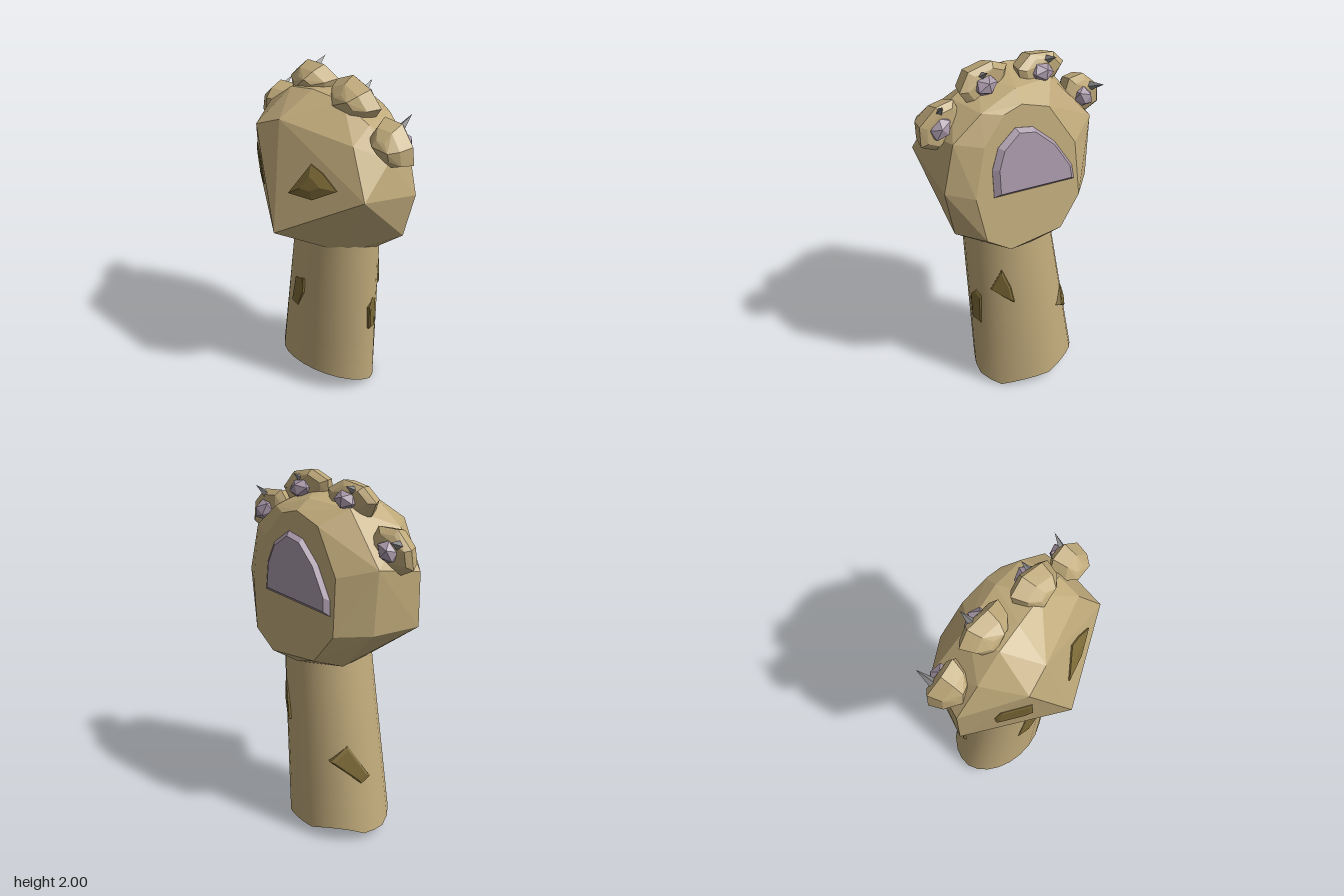
import * as THREE from 'three';
import { mergeVertices, toCreasedNormals } from 'three/addons/utils/BufferGeometryUtils.js';
import { ConvexGeometry } from 'three/addons/geometries/ConvexGeometry.js';

const material = (color, flatShading = true) => new THREE.MeshStandardMaterial({ color, flatShading });
const fur = material(0xbfa97a);
const smoothFur = material(0xbfa97a, false);
const spotColor = material(0x7d6a37);
const padColor = material(0xa898a8);
const clawColor = material(0x888888);

const V = (x, y, z) => new THREE.Vector3(x, y, z);

function add(parent, name, geometry, mat) {
  const mesh = new THREE.Mesh(geometry, mat);
  mesh.name = name;
  parent.add(mesh);
  return mesh;
}

// Tapered, leaning forearm with a slanted cut at the bottom
function armGeometry() {
  let g = new THREE.CylinderGeometry(1, 1, 1, 24, 4);
  const p = g.attributes.position;
  const mix = THREE.MathUtils.lerp;
  for (let i = 0; i < p.count; i++) {
    const nx = p.getX(i), nz = p.getZ(i), t = p.getY(i) + 0.5;
    const back = Math.max(0, -nz);
    const slope = nz > -0.5 ? 0.14 * (1 - (1 - nz) / 1.5) : 0.1 * (back - 0.5);
    const cut = slope + 0.1 * back * Math.max(0, -nx);
    const r = 1 - 0.2 * back * Math.max(0, nx) * (1 - t); // flattened rear corner
    p.setXYZ(i,
      mix(-0.065, 0.045, t) + nx * r * mix(0.315, 0.235, t),
      mix(cut, 1.2, t),
      mix(-0.115, -0.055, t) + nz * r * mix(0.245, 0.22, t));
  }
  g.deleteAttribute('uv');
  g.deleteAttribute('normal');
  g = mergeVertices(g);
  return toCreasedNormals(g, 0.7);
}

// Faceted paw: a blunt wedge in front, a tilted flat palm behind
function pawGeometry() {
  const palm = [[-0.22, 1.25], [-0.21, 1.55], [-0.07, 1.78], [0.08, 1.83], [0.18, 1.8], [0.3, 1.66],
    [0.37, 1.4], [0.33, 1.15], [0.2, 1.06], [-0.1, 1.09]]
    .map(([x, y]) => V(x, y, -0.3 + 0.15 * (x - 0.03) + 0.12 * (y - 1.5)));
  return new ConvexGeometry([
    ...palm,
    // front
    V(-0.03, 1.22, 0.37), V(0.43, 1.51, 0.2), V(-0.25, 1.73, 0.25), V(-0.1, 1.8, 0.235),
    V(0.3, 1.75, 0.14),
    // crown
    V(-0.36, 1.75, 0.03), V(-0.2, 1.88, 0.04), V(-0.05, 1.91, 0.04), V(0.14, 1.9, 0.03),
    V(0.3, 1.82, 0.02), V(0.42, 1.66, 0), V(-0.18, 1.86, -0.16), V(0.06, 1.88, -0.18),
    V(0.27, 1.81, -0.18),
    // sides
    V(-0.5, 1.55, 0), V(-0.5, 1.25, 0), V(-0.4, 1.6, -0.23), V(-0.38, 1.25, -0.24),
    V(0.48, 1.42, -0.15), V(0.42, 1.15, -0.14), V(0.42, 1.68, -0.15),
    // underside
    V(-0.2, 1.02, -0.02), V(0.25, 1.01, -0.1), V(0.2, 1.04, 0.06), V(0, 1.1, 0.17),
    V(-0.2, 1.04, -0.25), V(0.05, 1.03, -0.31),
  ]);
}

// Raised plate with a smaller upper outline, facing local +z
function plateGeometry(outline, height, inset) {
  const points = [];
  for (const [u, v] of outline) {
    points.push(V(u, v, -0.03), V(u, v, height * 0.3), V(u * inset, v * inset, height));
  }
  return new ConvexGeometry(points);
}

// Drops a spot onto the surface hit by a ray
function addSpot(group, target, from, dir, outline, height = 0.008, inset = 0.8) {
  const hit = new THREE.Raycaster(from, dir.clone().normalize()).intersectObject(target)[0];
  if (!hit) return;
  const spot = add(group, 'furSpot', plateGeometry(outline, height, inset), spotColor);
  spot.position.copy(hit.point);
  spot.lookAt(hit.point.clone().add(hit.face.normal));
}

// Boat-shaped toe: broad at the back, narrowing to the front
function toeGeometry(w, h) {
  const points = [];
  for (const [z, s] of [[-0.07, 0.75], [-0.045, 1], [0.03, 0.8], [0.075, 0.42]]) {
    for (let i = 0; i < 7; i++) {
      const a = (i + 0.25) / 7 * Math.PI * 2;
      points.push(V(Math.cos(a) * w * s, Math.sin(a) * h * s, z + 0.012 * Math.sin(i * 2)));
    }
  }
  return new ConvexGeometry(points);
}

function addToe(group, { center, tilt, size, base, tip }) {
  const toe = new THREE.Group();
  toe.name = 'toe';
  group.add(toe);
  const body = add(toe, 'toeBody', toeGeometry(...size), fur);
  body.position.copy(center);
  body.rotation.z = tilt;

  const pad = add(toe, 'toePad', new THREE.IcosahedronGeometry(1, 0), padColor);
  pad.scale.set(0.068, 0.052, 0.055);
  pad.position.copy(center).add(V(0.015, 0, -0.072));
  pad.rotation.z = tilt;

  const dir = tip.clone().sub(base);
  const claw = add(toe, 'claw', new THREE.ConeGeometry(0.032, dir.length(), 4), clawColor);
  claw.position.copy(base).add(tip).multiplyScalar(0.5);
  claw.quaternion.setFromUnitVectors(V(0, 1, 0), dir.normalize());
}

export function createModel() {
  const group = new THREE.Group();
  group.name = 'paw';
  const arm = add(group, 'forearm', armGeometry(), smoothFur);
  const paw = add(group, 'pawBody', pawGeometry(), fur);

  // Palm pad
  const pad = add(group, 'palmPad', plateGeometry([[-0.24, -0.15], [0.23, -0.18], [0.22, -0.1],
    [0.12, 0.06], [0, 0.17], [-0.1, 0.19], [-0.2, 0.11], [-0.24, 0]], 0.035, 0.88), padColor);
  pad.position.set(0.03, 1.53, -0.287);
  pad.lookAt(pad.position.clone().add(V(0.15, 0.12, -1)));

  // Fur spots on the paw and forearm
  addSpot(group, paw, V(-0.29, 1.46, 2), V(0, 0, -1),
    [[-0.1, 0], [-0.07, 0.09], [0.09, 0.1], [0.1, -0.07], [0.07, -0.09], [-0.09, -0.09]]);
  addSpot(group, paw, V(0.13, 1.53, 2), V(0, 0, -1),
    [[-0.12, -0.08], [-0.01, 0.1], [0.06, 0.07], [0.15, 0], [0.02, -0.08]], 0.025, 0.4);
  addSpot(group, arm, V(-0.09, 0.68, 2), V(0, 0, -1),
    [[-0.07, -0.11], [0, -0.1], [0.06, 0.03], [0.07, 0.13], [-0.02, 0.09]]);
  addSpot(group, arm, V(2, 0.57, -0.1), V(-1, 0, 0),
    [[-0.04, 0.06], [0, 0.11], [0.035, 0.08], [0.03, -0.12], [-0.03, -0.1]]);
  addSpot(group, arm, V(2, 0.74, -0.23), V(-1, 0, 0),
    [[-0.06, -0.02], [0, 0.12], [0.05, 0], [0.07, -0.1], [0, -0.06]]);
  addSpot(group, arm, V(-1.25, 0.45, -1.15), V(1, 0, 0.9),
    [[-0.11, 0.04], [-0.01, 0.12], [0.11, -0.07], [0.06, -0.11], [-0.03, -0.03]]);

  // Four toes across the crown
  [
    { center: V(-0.42, 1.68, -0.09), tilt: 0.75, size: [0.145, 0.1],
      base: V(-0.46, 1.71, -0.13), tip: V(-0.47, 1.76, -0.25) },
    { center: V(-0.155, 1.89, -0.065), tilt: 0.12, size: [0.152, 0.095],
      base: V(-0.18, 1.93, -0.1), tip: V(-0.18, 1.98, -0.2) },
    { center: V(0.16, 1.895, -0.015), tilt: -0.25, size: [0.152, 0.102],
      base: V(0.19, 1.92, -0.04), tip: V(0.19, 1.98, -0.13) },
    { center: V(0.42, 1.74, 0), tilt: -0.8, size: [0.142, 0.102],
      base: V(0.42, 1.79, -0.03), tip: V(0.45, 1.88, -0.12) },
  ].forEach((toe) => addToe(group, toe));

  return group;
}
